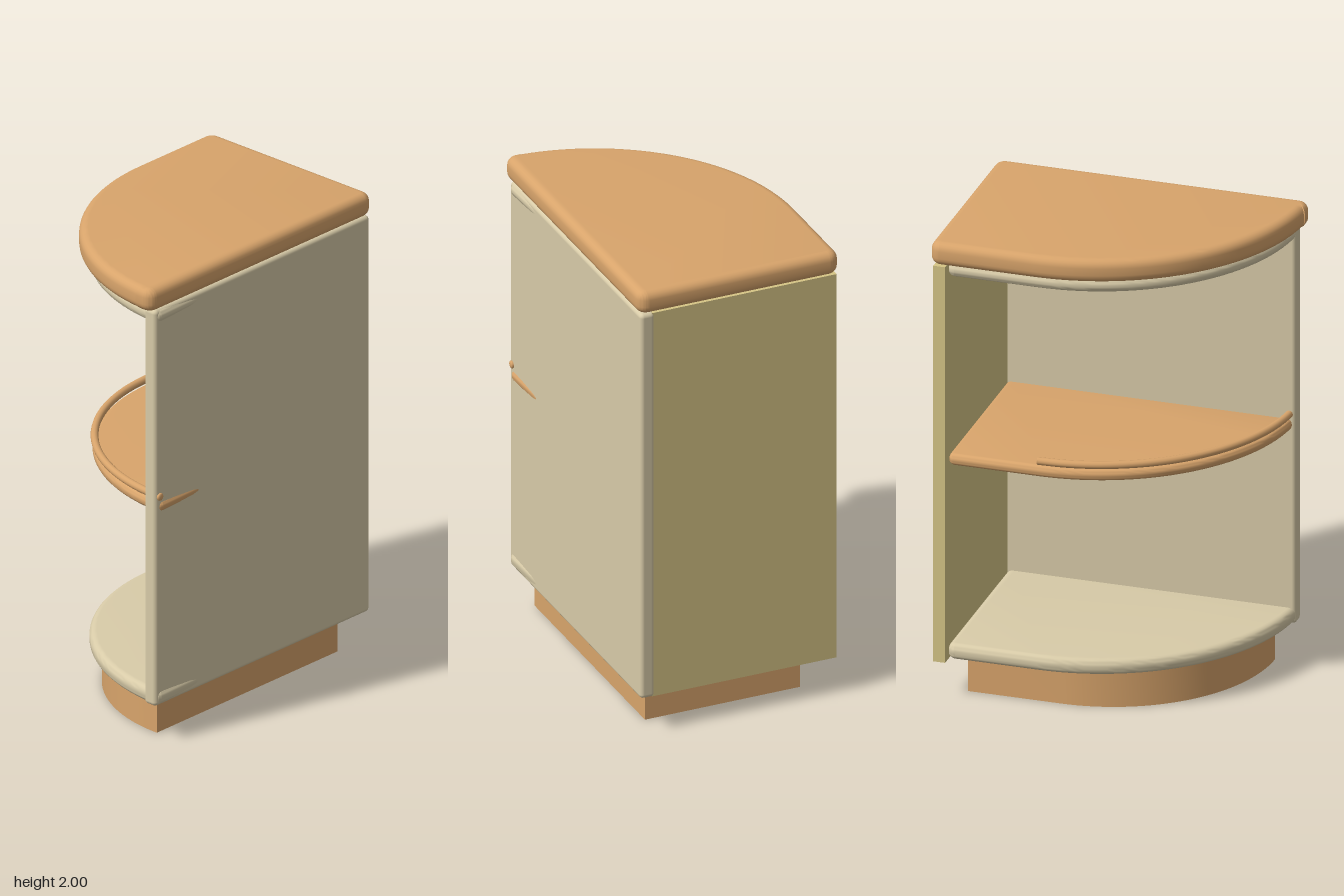
import * as THREE from 'three';
import { toCreasedNormals } from 'three/addons/utils/BufferGeometryUtils.js';
import { RoundedBoxGeometry } from 'three/addons/geometries/RoundedBoxGeometry.js';

const wood = new THREE.MeshStandardMaterial({ name: 'warm wood', color: 0xd8a46b });
const cream = new THREE.MeshStandardMaterial({ name: 'cream panel', color: 0xd8cba8 });
const straw = new THREE.MeshStandardMaterial({ name: 'straw back', color: 0xd6c586 });

function addMesh(group, name, geometry, material) {
  const mesh = new THREE.Mesh(geometry, material);
  mesh.name = name;
  group.add(mesh);
  return mesh;
}

// Quarter-round slab: straight along the back and right, circular at front left.
// xr: right edge at the front, xrBack: right edge at the back, R: arc radius,
// cz: arc centre z, zb: back edge, y0..y1: height, b: edge rounding, c: corner rounding.
function slab({ xr, xrBack = xr, R, cz, zb, y0, y1, b = 0, c = 0 }) {
  const r = R - b, left = xr - R + b, back = zb + b, front = cz + r;
  const right = xr - b, rightBack = xrBack - b;
  const s = new THREE.Shape();
  s.moveTo(left + c, back);
  s.lineTo(rightBack - c, back);
  if (c) s.quadraticCurveTo(rightBack, back, rightBack, back + c);
  s.lineTo(right, front - c);
  if (c) s.quadraticCurveTo(right, front, right - c, front);
  const start = Math.PI / 2 + Math.asin((b + c) / r);
  s.absarc(xr, cz, r, start, Math.PI, false);
  s.lineTo(left, back + c);
  if (c) s.quadraticCurveTo(left, back, left + c, back);
  const geometry = new THREE.ExtrudeGeometry(s, {
    depth: y1 - y0 - 2 * b, curveSegments: 20,
    bevelEnabled: b > 0, bevelSize: b, bevelThickness: b, bevelSegments: 5,
  });
  geometry.rotateX(Math.PI / 2);
  geometry.translate(0, y1 - b, 0);
  return toCreasedNormals(geometry, 0.7);
}

export function createModel() {
  const model = new THREE.Group();
  model.name = 'cornerShelfUnit';

  // Worktop and recessed plinth
  addMesh(model, 'worktop', slab({
    xr: 0.44, R: 0.882, cz: -0.222, zb: -0.66, y0: 1.9, y1: 2, b: 0.035, c: 0.012,
  }), wood);
  addMesh(model, 'plinth', slab({
    xr: 0.36, R: 0.68, cz: -0.145, zb: -0.535, y0: 0, y1: 0.16,
  }), wood);

  // Upright panels
  addMesh(model, 'sidePanel', new RoundedBoxGeometry(0.065, 1.74, 1.27, 4, 0.018), cream)
    .position.set(0.3985, 1.03, -0.015);
  addMesh(model, 'backPanel', new THREE.BoxGeometry(0.81, 1.735, 0.05), straw)
    .position.set(-0.027, 1.03, -0.62);

  // Shelves, their front corners just breaking through the side panel
  const shelf = { xr: 0.438, xrBack: 0.4, cz: -0.22, zb: -0.6, c: 0.008 };
  addMesh(model, 'bottomShelf', slab({ ...shelf, R: 0.838, y0: 0.162, y1: 0.23, b: 0.028 }), cream);
  addMesh(model, 'topShelf', slab({ ...shelf, R: 0.838, y0: 1.84, y1: 1.899, b: 0.026 }), cream);
  addMesh(model, 'middleShelf', slab({ ...shelf, R: 0.826, y0: 1.008, y1: 1.058, b: 0.022 }), wood);

  // Gallery rail following the curve of the middle shelf
  const rail = new THREE.Group();
  rail.name = 'galleryRail';
  const path = [];
  for (let i = 0; i <= 12; i++) {
    const a = Math.PI / 2 + (i / 12) * (Math.PI / 2);
    path.push(new THREE.Vector3(0.435 + 0.815 * Math.cos(a), 1.079, -0.22 + 0.815 * Math.sin(a)));
  }
  addMesh(rail, 'railTube', new THREE.TubeGeometry(new THREE.CatmullRomCurve3(path), 40, 0.016, 12), wood);
  for (const end of [path[0], path[12]]) {
    const cap = addMesh(rail, 'railCap', new THREE.SphereGeometry(0.016, 12, 8), wood);
    cap.position.copy(end);
    // Flattened along the rail direction
    if (end === path[0]) cap.scale.x = 0.4;
    else cap.scale.z = 0.4;
  }
  model.add(rail);
  return model;
}
